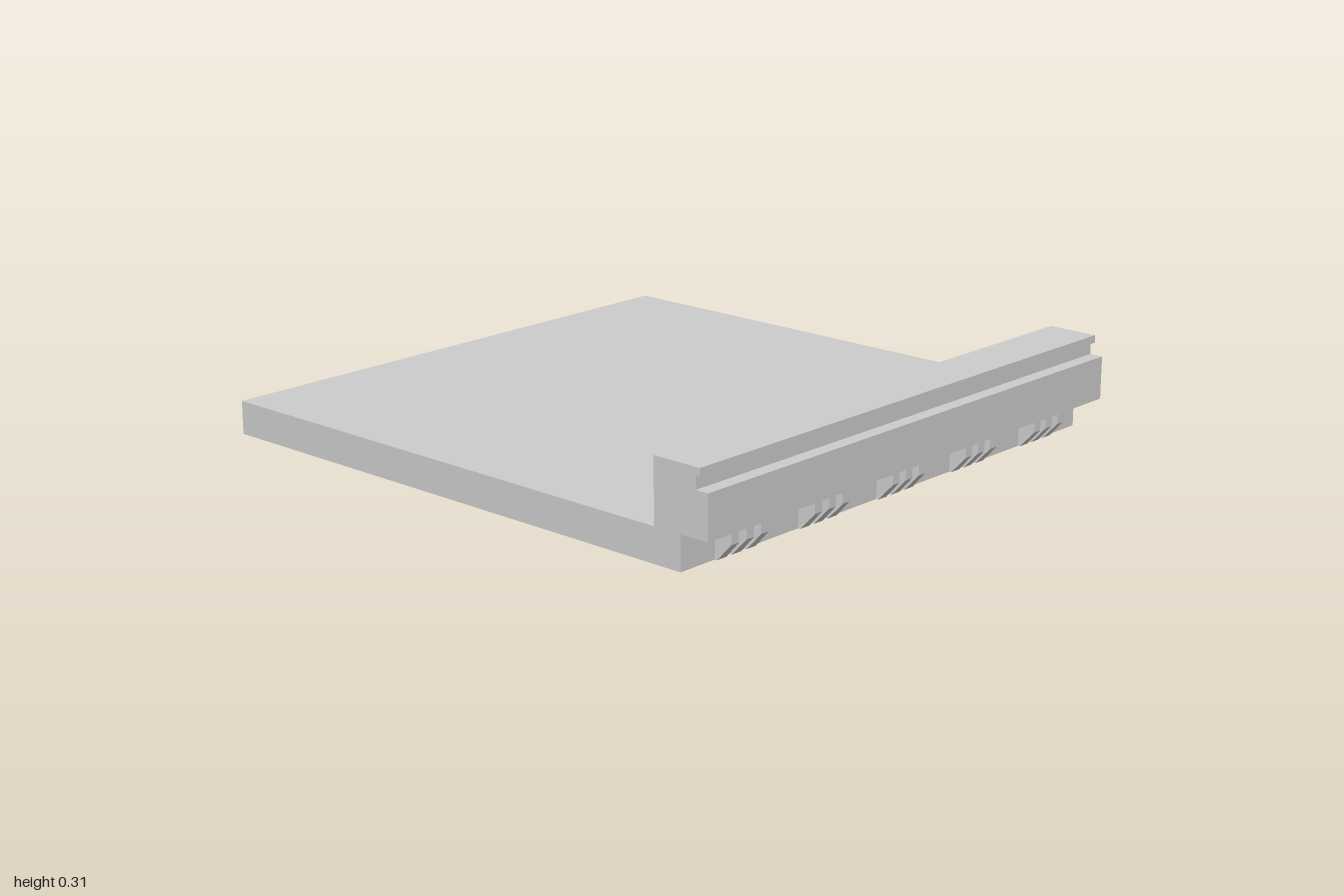
import * as THREE from 'three';

const material = new THREE.MeshStandardMaterial({ color: 0xcccccc, flatShading: true });

// Extrude a (z, y) side profile across x, centred on x = 0
function extrudeAcross(profile, width) {
  const shape = new THREE.Shape(profile.map(([z, y]) => new THREE.Vector2(z, y)));
  const geometry = new THREE.ExtrudeGeometry(shape, { depth: width, bevelEnabled: false });
  return geometry.translate(0, 0, -width / 2).rotateY(-Math.PI / 2);
}

export function createModel() {
  const model = new THREE.Group();
  model.name = 'corniceSlab';

  // Flat slab with the stepped cornice along its front edge
  const slab = new THREE.Mesh(extrudeAcross([
    [-1, 0], [0.9, 0], [0.9, 0.11], [1, 0.11], [1, 0.25], [0.955, 0.25],
    [0.955, 0.29], [0.97, 0.29], [0.97, 0.315], [0.8, 0.315], [0.8, 0.11], [-1, 0.11],
  ], 1.88), material);
  slab.name = 'slabAndCornice';
  model.add(slab);

  // Small block under the cornice: chamfered below and slightly flared at the foot
  const blockGeometry = extrudeAcross(
    [[0.89, 0], [0.908, 0], [0.958, 0.055], [0.958, 0.112], [0.89, 0.112]], 0.032);
  const position = blockGeometry.attributes.position;
  for (let i = 0; i < position.count; i++) {
    if (position.getY(i) < 0.01) position.setX(i, position.getX(i) * 1.25);
  }
  blockGeometry.computeVertexNormals();

  // Five groups of three blocks
  for (let g = -2; g <= 2; g++) {
    const blocks = new THREE.Group();
    blocks.name = 'blockGroup';
    blocks.position.x = g * 0.359;
    for (let i = -1; i <= 1; i++) {
      const block = new THREE.Mesh(blockGeometry, material);
      block.name = 'corniceBlock';
      block.position.x = i * 0.0625;
      blocks.add(block);
    }
    model.add(blocks);
  }
  return model;
}
